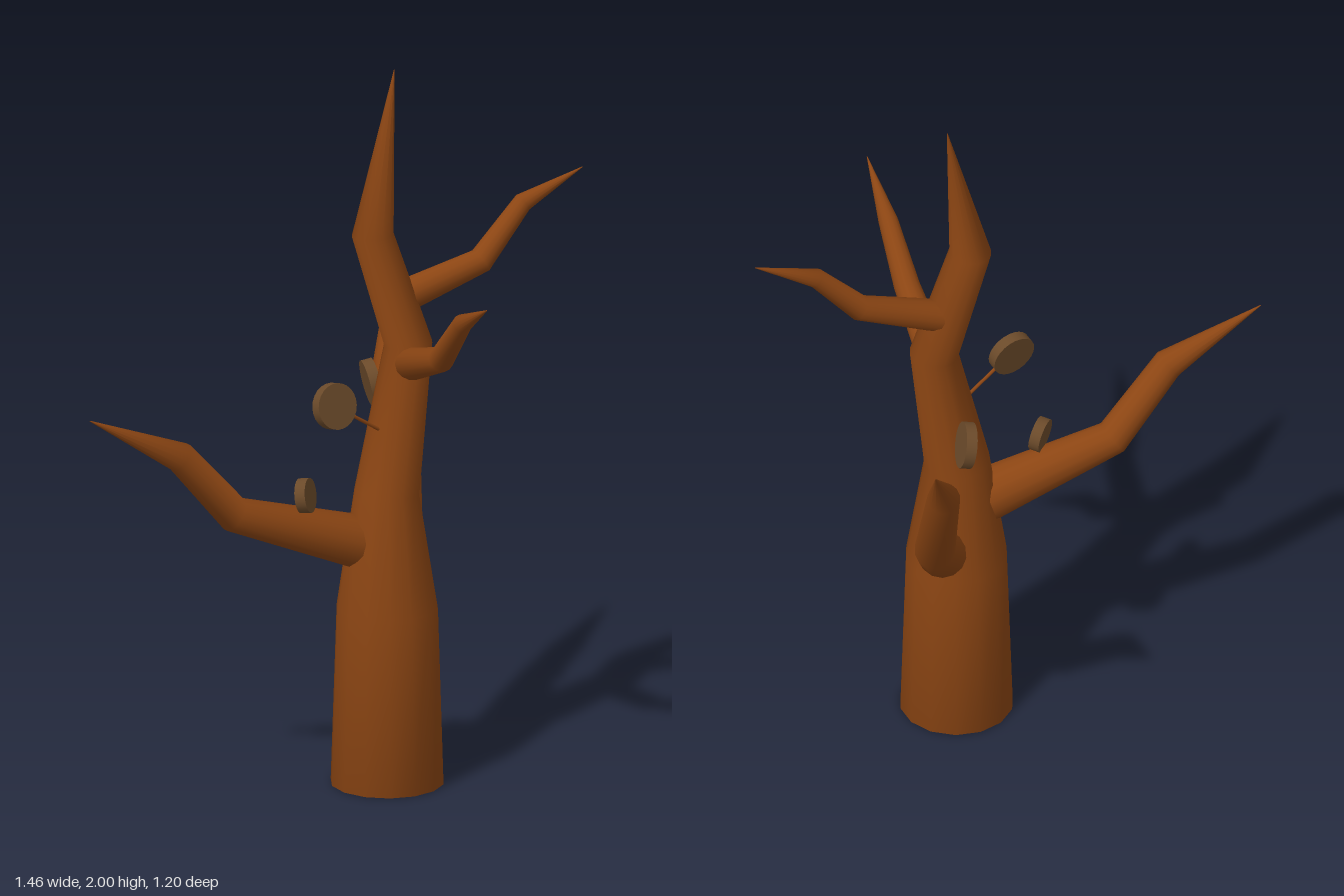
import * as THREE from 'three';

const SIDES = 14;
const UP = new THREE.Vector3(0, 1, 0);
const wood = new THREE.MeshStandardMaterial({ color: 0x8b4513 });
const fungus = new THREE.MeshStandardMaterial({ color: 0x6b4a2a });

// Tapered, bent limb from rings of [x, y, z, radius], closed at its base and pointed at its tip
function limb(name, rings) {
  const centres = rings.map(([x, y, z]) => new THREE.Vector3(x, y, z));
  const dirs = centres.slice(1).map((c, i) => c.clone().sub(centres[i]).normalize());
  const positions = [];
  const index = [];
  rings.forEach((ring, i) => {
    const before = dirs[Math.max(i - 1, 0)];
    const after = dirs[Math.min(i, dirs.length - 1)];
    const tangent = before.clone().add(after).normalize();
    const turn = new THREE.Quaternion().setFromUnitVectors(UP, tangent);
    for (let j = 0; j < SIDES; j++) {
      const a = (j / SIDES) * Math.PI * 2;
      const p = new THREE.Vector3(Math.cos(a), 0, -Math.sin(a))
        .multiplyScalar(ring[3]).applyQuaternion(turn).add(centres[i]);
      positions.push(p.x, p.y, p.z);
      if (i < rings.length - 1) {
        const k = i * SIDES + j;
        const n = i * SIDES + ((j + 1) % SIDES);
        index.push(k, n, n + SIDES, k, n + SIDES, k + SIDES);
      }
    }
  });
  // Base cap
  const centre = positions.length / 3;
  positions.push(...centres[0].toArray());
  for (let j = 0; j < SIDES; j++) index.push(centre, (j + 1) % SIDES, j);

  const geometry = new THREE.BufferGeometry();
  geometry.setAttribute('position', new THREE.Float32BufferAttribute(positions, 3));
  geometry.setIndex(index);
  geometry.computeVertexNormals();
  const mesh = new THREE.Mesh(geometry, wood);
  mesh.name = name;
  return mesh;
}

// Cylinder whose axis follows a direction
function disc(name, centre, axis, radius, thickness, material, sides) {
  const mesh = new THREE.Mesh(new THREE.CylinderGeometry(radius, radius, thickness, sides), material);
  mesh.name = name;
  mesh.position.copy(centre);
  mesh.quaternion.setFromUnitVectors(UP, axis.clone().normalize());
  return mesh;
}

// Round disc held on a thin stem
function discOnStem(name, root, centre, normal, radius) {
  const a = new THREE.Vector3(...root);
  const b = new THREE.Vector3(...centre);
  const along = b.clone().sub(a);
  const group = new THREE.Group();
  group.name = name;
  group.add(
    disc('stem', a.clone().add(b).multiplyScalar(0.5), along, 0.005, along.length(), wood, 8),
    disc('disc', b, new THREE.Vector3(...normal), radius, 0.03, fungus, 24),
  );
  return group;
}

export function createModel() {
  const tree = new THREE.Group();
  tree.name = 'bareTree';

  tree.add(
    limb('trunk', [
      [0.14, 0, 0.078, 0.156], [0.14, 0.5, 0.08, 0.14], [0.14, 0.825, 0.075, 0.09],
      [0.213, 1.23, 0.03, 0.067], [0.11, 1.55, 0.04, 0.058], [0.185, 2, -0.01, 0.001],
    ]),
    limb('lowerRightBranch', [
      [0.06, 0.69, 0.075, 0.075], [-0.3, 0.807, 0.105, 0.05],
      [-0.465, 0.998, 0.15, 0.043], [-0.73, 1.133, 0.18, 0.001],
    ]),
    limb('lowerBackBranch', [
      [0.2, 0.58, -0.015, 0.068], [0.27, 0.77, -0.245, 0.056],
      [0.275, 1.045, -0.383, 0.045], [0.345, 1.28, -0.6, 0.001],
    ]),
    limb('upperFrontBranch', [
      [0.205, 1.185, 0.08, 0.046], [0.23, 1.263, 0.3, 0.036],
      [0.256, 1.4, 0.422, 0.027], [0.276, 1.49, 0.6, 0.001],
    ]),
    limb('upperLeftBranch', [
      [0.2, 1.36, 0.022, 0.046], [0.427, 1.438, 0, 0.036],
      [0.555, 1.583, -0.033, 0.027], [0.73, 1.662, -0.056, 0.001],
    ]),
  );

  tree.add(
    discOnStem('frontDisc', [0.13, 1.0, 0.09], [-0.028, 1.105, 0.147], [0.35, 0.2, 0.92], 0.064),
    discOnStem('backDisc', [0.155, 0.97, 0.01], [0.168, 1.06, -0.178], [0.97, 0.2, 0.04], 0.064),
    discOnStem('branchDisc', [-0.1, 0.74, 0.095], [-0.1, 0.845, 0.11], [0.82, 0.15, 0.55], 0.048),
  );
  return tree;
}
